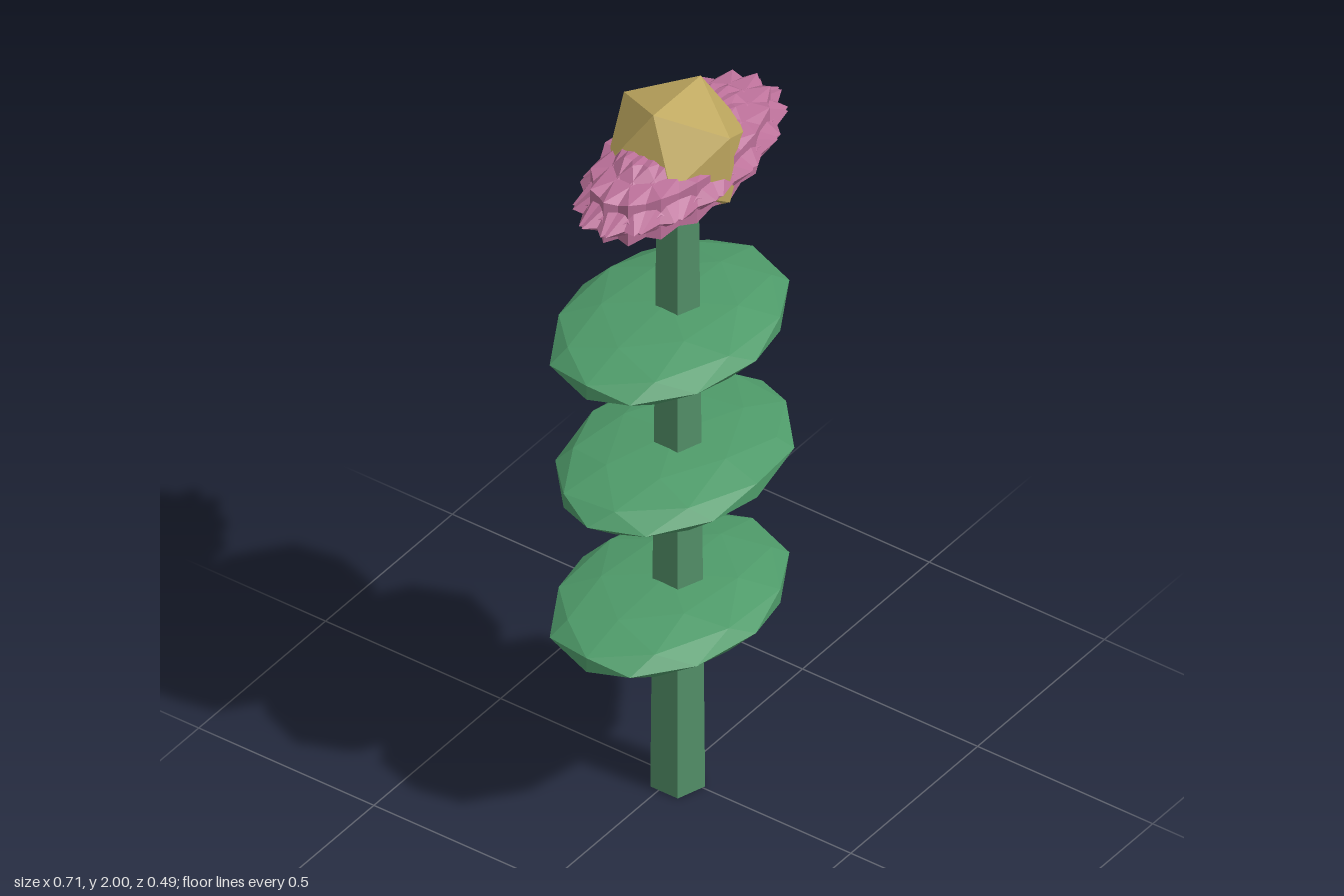
import * as THREE from 'three';

const paint = (color) => new THREE.MeshStandardMaterial({ color, flatShading: true });

// Faceted ball, turned about y first and stretched afterwards
function stretchedBall(name, material, detail, turn, size, position) {
  const geometry = new THREE.IcosahedronGeometry(1, detail);
  geometry.rotateY(turn);
  geometry.scale(...size);
  geometry.computeVertexNormals();
  const mesh = new THREE.Mesh(geometry, material);
  mesh.position.set(...position);
  mesh.name = name;
  return mesh;
}

export function createModel() {
  const model = new THREE.Group();
  model.name = 'flower';
  const stemGreen = paint(0x529068);
  const leafGreen = paint(0x4e9a69);
  const pink = paint(0xbb7099);
  const gold = paint(0xbfa85f);

  // Five-sided tapering stem
  const stem = new THREE.Mesh(new THREE.CylinderGeometry(0.051, 0.0667, 1.8, 5), stemGreen);
  stem.rotation.y = Math.PI / 2;
  stem.position.set(-0.013, 0.9, 0.015);
  stem.name = 'stem';
  model.add(stem);

  // Flat oval leaf tiers, alternately turned
  const edgeTurn = Math.atan2(0.809, 0.5);
  [0.545, 0.943, 1.34].forEach((y, i) => {
    const turn = i === 1 ? Math.PI / 2 - edgeTurn : edgeTurn;
    const x = i === 1 ? -0.005 : -0.026;
    model.add(stretchedBall('leaf' + (i + 1), leafGreen, 1, turn, [0.345, 0.065, 0.247], [x, y, 0.001]));
  });

  // Spiky ring of overlapping petals
  const petals = new THREE.Group();
  petals.name = 'petals';
  const count = 8;
  for (let i = 0; i < count; i++) {
    const turn = (i / count) * Math.PI;
    petals.add(stretchedBall('petal' + (i + 1), pink, 0, turn, [0.357, 0.112, 0.167], [0, 1.81, 0.013]));
  }
  model.add(petals);

  // Faceted flower centre
  model.add(stretchedBall('flowerCentre', gold, 0, 0, [0.178, 0.177, 0.178], [-0.013, 1.85, 0.013]));

  return model;
}
